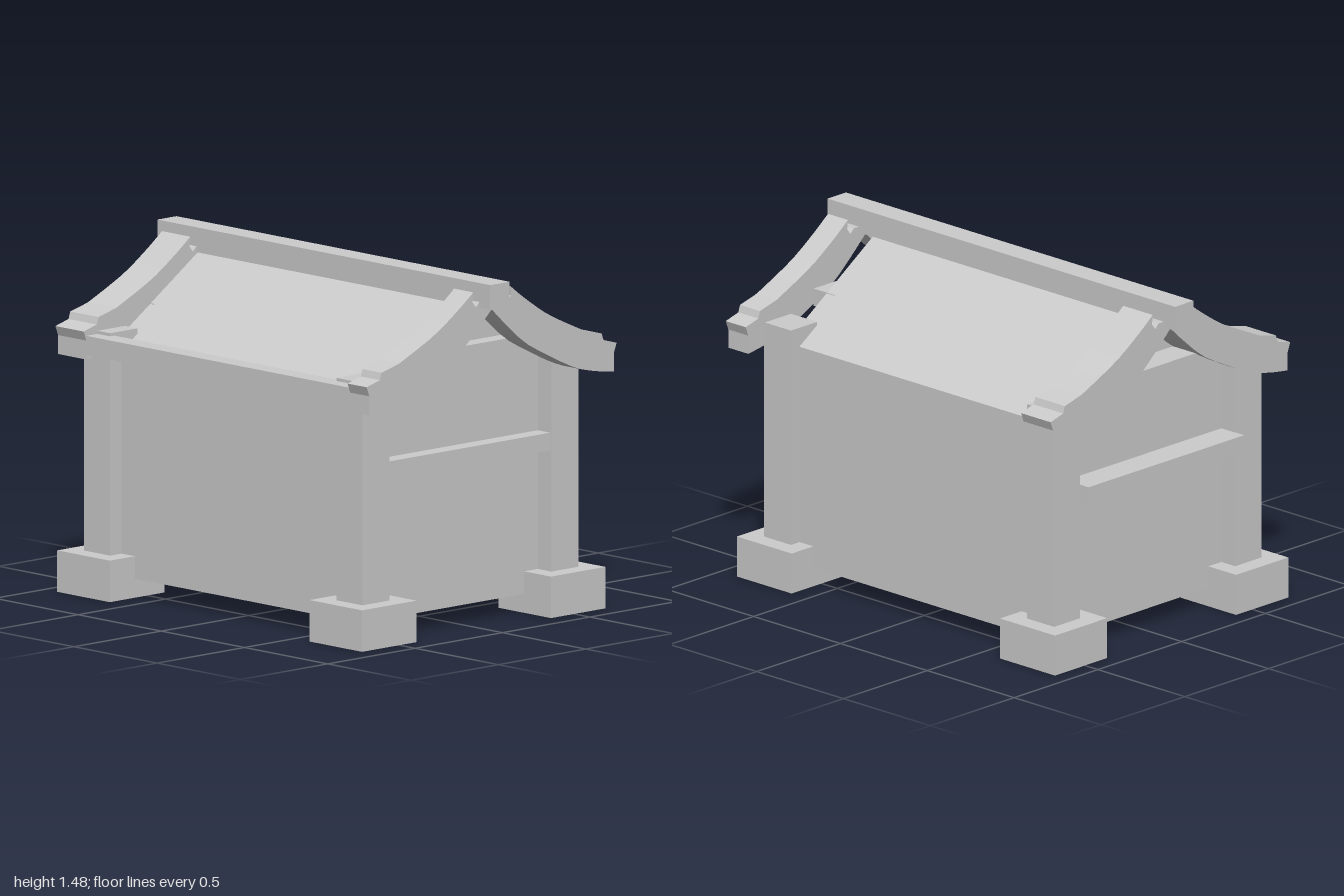
import * as THREE from 'three';

const material = new THREE.MeshStandardMaterial({ color: 0xcccccc, flatShading: true });

// Box given by its limits on each axis
function box(name, [x0, x1], [y0, y1], [z0, z1]) {
  const mesh = new THREE.Mesh(new THREE.BoxGeometry(x1 - x0, y1 - y0, z1 - z0), material);
  mesh.position.set((x0 + x1) / 2, (y0 + y1) / 2, (z0 + z1) / 2);
  mesh.name = name;
  return mesh;
}

// Profile of (z, y) points, extruded along x
function slab(name, points, [x0, x1]) {
  const geometry = new THREE.ExtrudeGeometry(new THREE.Shape(points), { depth: x1 - x0, bevelEnabled: false });
  geometry.rotateY(-Math.PI / 2);
  const mesh = new THREE.Mesh(geometry, material);
  mesh.position.x = x1;
  mesh.name = name;
  return mesh;
}

const vectors = (list) => list.map(([z, y]) => new THREE.Vector2(z, y));
const smooth = (list, n) => new THREE.SplineCurve(vectors(list)).getPoints(n);

// Sweeping gable board: curved underside, stepped eave end, curved top, notch beside the ridge
function gableProfile() {
  const half = [
    ...smooth([[0, 1.355], [0.07, 1.29], [0.19, 1.19], [0.33, 1.115], [0.48, 1.045], [0.6, 1.015], [0.7, 1.0]], 14),
    ...vectors([[0.7, 1.08], [0.715, 1.12], [0.64, 1.14], [0.63, 1.17]]),
    ...smooth([[0.53, 1.195], [0.335, 1.285], [0.2, 1.37], [0.105, 1.44]], 10),
    ...vectors([[0.11, 1.4], [0.09, 1.375], [0.07, 1.395]]),
  ];
  const mirrored = half.slice(1).reverse().map((p) => new THREE.Vector2(-p.x, p.y));
  return [...half, ...mirrored];
}

export function createModel() {
  const group = new THREE.Group();

  // Main hall with pitched roof
  const hall = vectors([[-0.55, 0.08], [0.57, 0.08], [0.57, 1.03], [0.015, 1.4], [-0.55, 1.03]]);
  group.add(slab('hallBody', hall, [-0.765, 0.745]));

  // Corner posts on stone footings
  for (const x of [-0.767, 0.748]) {
    for (const z of [-0.523, 0.558]) {
      group.add(box('footing', [x - 0.158, x + 0.158], [0, 0.175], [z - 0.156, z + 0.156]));
      group.add(box('post', [x - 0.078, x + 0.078], [0.17, 1.113], [z - 0.078, z + 0.078]));
    }
  }

  // Cross beams on each end wall
  for (const [x0, x1] of [[-0.895, -0.74], [0.7, 0.82]]) {
    group.add(box('crossBeam', [x0, x1], [0.685, 0.76], [-0.447, 0.482]));
    group.add(box('gableTie', [x0, x1], [1.115, 1.19], [-0.31, 0.335]));
  }

  // Eave beam along the front
  group.add(box('eaveBeam', [-0.85, 0.85], [1.02, 1.1], [0.612, 0.7]));

  // Curved gable boards and the ridge beam
  const gable = gableProfile();
  group.add(slab('rightGableBoard', gable, [-0.935, -0.765]));
  group.add(slab('leftGableBoard', gable, [0.82, 0.935]));
  group.add(box('ridgeBeam', [-1, 1], [1.37, 1.475], [-0.04, 0.07]));

  return group;
}
